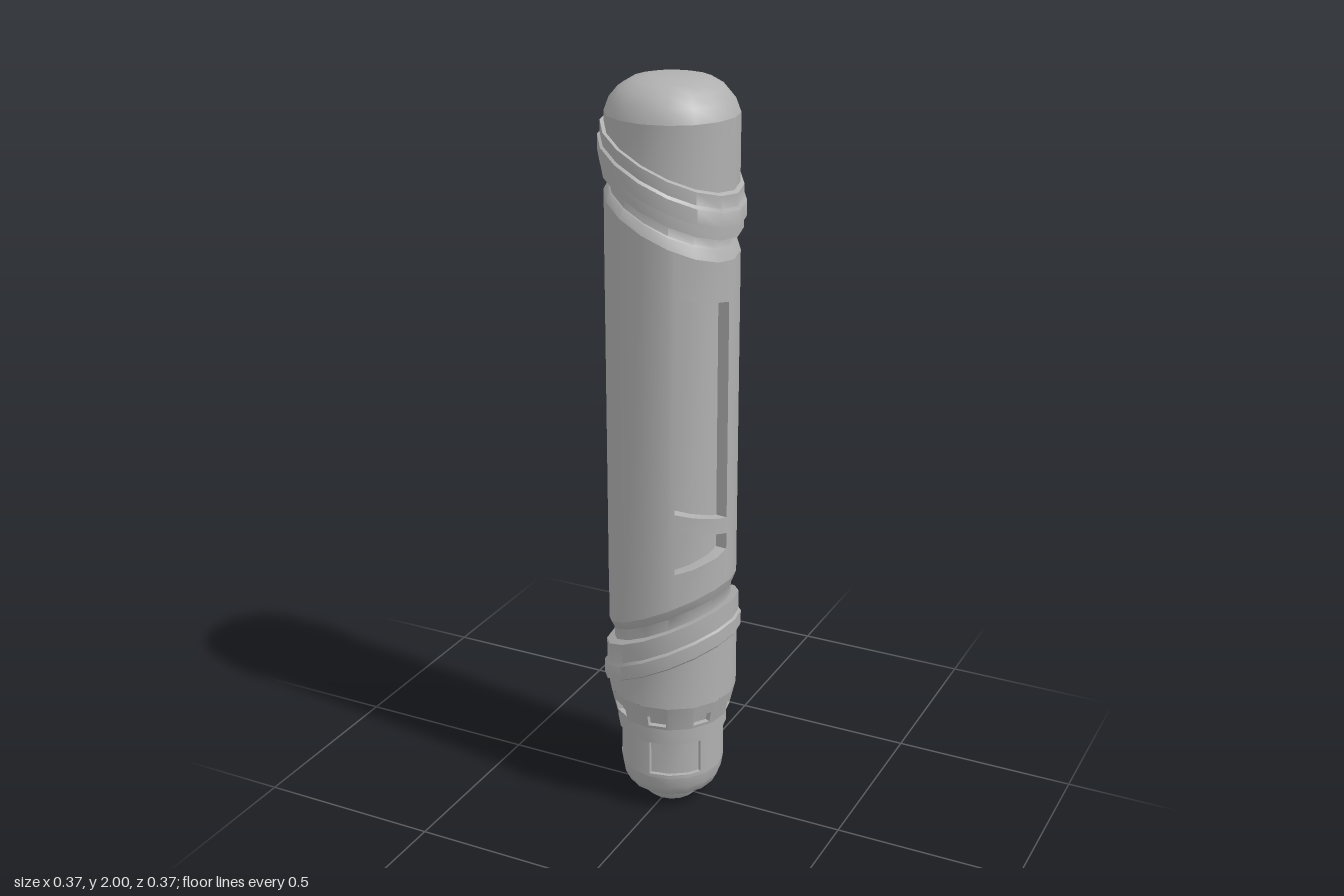
import * as THREE from 'three';
import { toCreasedNormals } from 'three/addons/utils/BufferGeometryUtils.js';

const SIDES = 16;
const STEP = 360 / SIDES;
const SLOPE = 0.47;

// Radius of the regular 16-sided outline at an angle (degrees, from +z towards +x)
function outline(deg, r) {
  const local = ((deg % STEP) + STEP) % STEP - STEP / 2;
  return r * Math.cos(Math.PI / SIDES) / Math.cos(THREE.MathUtils.degToRad(local));
}

function direction(deg) {
  const t = THREE.MathUtils.degToRad(deg);
  return [Math.sin(t), Math.cos(t)];
}

// Tube wall with sunken pockets. lo and hi give the end heights at a given x.
// A pocket spans angles from..to, with [start, end] heights for bottom and top.
function pocketedWall(radius, lo, hi, pockets = []) {
  const rad = typeof radius === 'function' ? radius : () => radius;
  const pos = [];
  const point = (deg, r, y) => {
    const [s, c] = direction(deg);
    const p = outline(deg, r);
    return [s * p, y, c * p];
  };
  const quad = (a, b, c, d) => pos.push(...a, ...b, ...c, ...a, ...c, ...d);
  const surface = (t0, t1, l0, l1, h0, h1, depth) => quad(
    point(t0, rad(l0) - depth, l0), point(t1, rad(l1) - depth, l1),
    point(t1, rad(h1) - depth, h1), point(t0, rad(h0) - depth, h0));
  const end = (fn, deg) => fn(outline(deg, rad(0.3)) * direction(deg)[0]);

  const cuts = new Set();
  for (let i = 0; i <= SIDES; i++) cuts.add(i * STEP);
  pockets.forEach(p => { cuts.add(p.from); cuts.add(p.to); });
  const angles = [...cuts].sort((a, b) => a - b);

  for (let i = 0; i < angles.length - 1; i++) {
    const t0 = angles[i], t1 = angles[i + 1], mid = (t0 + t1) / 2;
    let l0 = end(lo, t0), l1 = end(lo, t1);
    const here = pockets.filter(p => mid > p.from && mid < p.to)
      .sort((a, b) => a.bottom[0] - b.bottom[0]);
    for (const p of here) {
      const at = (pair, t) => THREE.MathUtils.lerp(pair[0], pair[1], (t - p.from) / (p.to - p.from));
      const b0 = at(p.bottom, t0), b1 = at(p.bottom, t1);
      const h0 = at(p.top, t0), h1 = at(p.top, t1), d = p.depth;
      const out = (t, y) => point(t, rad(y), y);
      const inn = (t, y) => point(t, rad(y) - d, y);
      surface(t0, t1, l0, l1, b0, b1, 0);
      surface(t0, t1, b0, b1, h0, h1, d);
      quad(out(t0, b0), out(t1, b1), inn(t1, b1), inn(t0, b0));
      quad(inn(t0, h0), inn(t1, h1), out(t1, h1), out(t0, h0));
      if (t0 === p.from) quad(out(t0, b0), inn(t0, b0), inn(t0, h0), out(t0, h0));
      if (t1 === p.to) quad(inn(t1, b1), out(t1, b1), out(t1, h1), inn(t1, h1));
      l0 = h0;
      l1 = h1;
    }
    surface(t0, t1, l0, l1, end(hi, t0), end(hi, t1), 0);
  }
  const g = new THREE.BufferGeometry();
  g.setAttribute('position', new THREE.Float32BufferAttribute(pos, 3));
  return toCreasedNormals(g, 0.7);
}

// Turned part whose height is sheared along x
function turned(profile, slope = 0) {
  const g = new THREE.LatheGeometry(profile.map(p => new THREE.Vector2(...p)), SIDES);
  const p = g.attributes.position;
  for (let i = 0; i < p.count; i++) p.setY(i, p.getY(i) + slope * p.getX(i));
  return toCreasedNormals(g, 0.7);
}

export function createModel() {
  const model = new THREE.Group();
  model.name = 'cylinderHandle';
  const grey = new THREE.MeshStandardMaterial({ color: 0xb0b0b0 });
  grey.name = 'grey';
  const add = (name, geometry) => {
    const m = new THREE.Mesh(geometry, grey);
    m.name = name;
    model.add(m);
  };
  const down = c => x => c - SLOPE * x;
  const up = c => x => c + SLOPE * x;
  const level = c => () => c;

  // Main sleeve with its long window, short window and two shallow end notches
  add('mainSleeve', pocketedWall(0.171, up(0.605), down(1.64), [
    { from: 28, to: 83, bottom: [0.91, 0.87], top: [1.485, 1.455], depth: 0.032 },
    { from: 28, to: 83, bottom: [0.74, 0.78], top: [0.87, 0.825], depth: 0.032 },
    { from: 261, to: 294, bottom: [1.62, 1.62], top: [1.685, 1.685], depth: 0.01 },
    { from: 261, to: 294, bottom: [0.55, 0.55], top: [0.61, 0.61], depth: 0.01 },
  ]));

  // Slanted grooves with bevelled lips at each end of the sleeve
  add('upperGroove', turned([[0.171, 1.64], [0.16, 1.665], [0.157, 1.668], [0.157, 1.7]], -SLOPE));
  add('lowerGroove', turned([[0.157, 0.545], [0.157, 0.577], [0.16, 0.58], [0.171, 0.605]], SLOPE));

  // Slanted raised bands
  add('upperBand', turned([[0.157, 1.7], [0.178, 1.7], [0.178, 1.73], [0.185, 1.733],
    [0.185, 1.772], [0.178, 1.778], [0.178, 1.81], [0.167, 1.812]], -SLOPE));
  add('lowerBand', turned([[0.172, 0.433], [0.178, 0.435], [0.185, 0.44], [0.185, 0.48],
    [0.178, 0.487], [0.178, 0.542], [0.157, 0.545]], SLOPE));

  // Rounded top cap
  add('capWall', pocketedWall(0.168, down(1.8), level(1.91)));
  add('capDome', turned([[0.168, 1.91], [0.155, 1.945], [0.132, 1.972], [0.1, 1.991], [0.055, 2], [0, 2]]));

  // Lower skirt with a ring of eight small notches
  const notches = [];
  for (let i = 0; i < 8; i++) {
    const mid = 11.25 + i * 45;
    notches.push({ from: mid - 9, to: mid + 9, bottom: [0.281, 0.281], top: [0.312, 0.312], depth: 0.015 });
  }
  add('skirt', pocketedWall(0.174, level(0.345), up(0.44)));
  add('notchedRim', pocketedWall(y => 0.157 + (y - 0.272) * 0.233, level(0.272), level(0.345), notches));
  add('collar', turned([[0.138, 0.22], [0.149, 0.222], [0.149, 0.268], [0.149, 0.272], [0.157, 0.272]]));

  // End knob with three sunken panels
  const panels = [0, 120, 240].map(a => (
    { from: a, to: a + 60, bottom: [0.12, 0.12], top: [0.219, 0.219], depth: 0.011 }));
  add('knob', pocketedWall(0.141, level(0.11), level(0.22), panels));

  // Rounded knob end and hollow nozzle
  add('nozzle', turned([[0, 0.07], [0.052, 0.07], [0.052, 0.012], [0.06, 0], [0.066, 0], [0.082, 0.016],
    [0.088, 0.036], [0.105, 0.038], [0.122, 0.05], [0.136, 0.078], [0.141, 0.11]]));
  add('nozzlePin', turned([[0, 0.015], [0.012, 0.02], [0.014, 0.07]]));

  return model;
}
